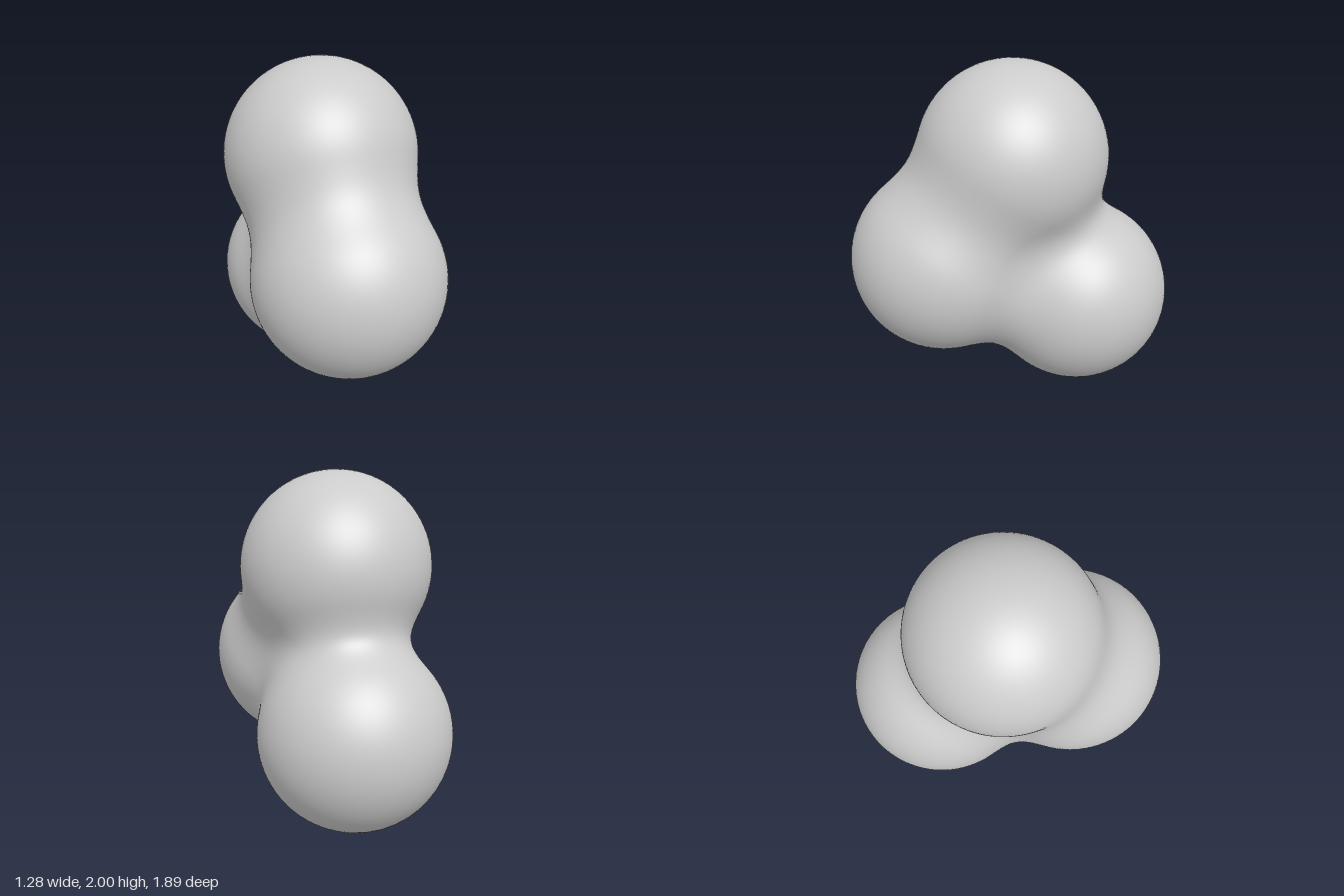
import * as THREE from 'three';
import { mergeVertices } from 'three/addons/utils/BufferGeometryUtils.js';

// Three equal lobes, melted together
const RADIUS = 0.556;
const BLEND = 0.25;
const lobes = [
  new THREE.Vector3(-0.04, 1.445, -0.02), // upper
  new THREE.Vector3(-0.085, 0.832, 0.39), // front
  new THREE.Vector3(0.085, 0.555, -0.392), // back
];
// A point that lies inside all three lobes
const core = new THREE.Vector3(0.0, 0.953, -0.09);

function smoothMin(a, b) {
  const h = Math.max(BLEND - Math.abs(a - b), 0) / BLEND;
  return Math.min(a, b) - h * h * BLEND * 0.25;
}

// Signed distance to the blended body
function distance(p) {
  return lobes.map((c) => p.distanceTo(c) - RADIUS).reduce(smoothMin);
}

export function createModel() {
  const group = new THREE.Group();
  group.name = 'blendedLobes';

  // Push every vertex of a fine sphere out from the core to the blended surface
  let geometry = new THREE.IcosahedronGeometry(1, 28);
  geometry.deleteAttribute('normal');
  geometry.deleteAttribute('uv');
  geometry = mergeVertices(geometry, 1e-4);
  const position = geometry.attributes.position;
  const dir = new THREE.Vector3();
  const p = new THREE.Vector3();
  for (let i = 0; i < position.count; i++) {
    dir.fromBufferAttribute(position, i).normalize();
    let near = 0;
    let far = 1.6;
    for (let step = 0; step < 24; step++) {
      const mid = (near + far) / 2;
      p.copy(core).addScaledVector(dir, mid);
      if (distance(p) < 0) near = mid;
      else far = mid;
    }
    p.copy(core).addScaledVector(dir, near);
    position.setXYZ(i, p.x, p.y, p.z);
  }
  geometry.computeVertexNormals();

  const body = new THREE.Mesh(
    geometry,
    new THREE.MeshStandardMaterial({ color: 0xcccccc })
  );
  body.name = 'body';
  group.add(body);
  return group;
}
